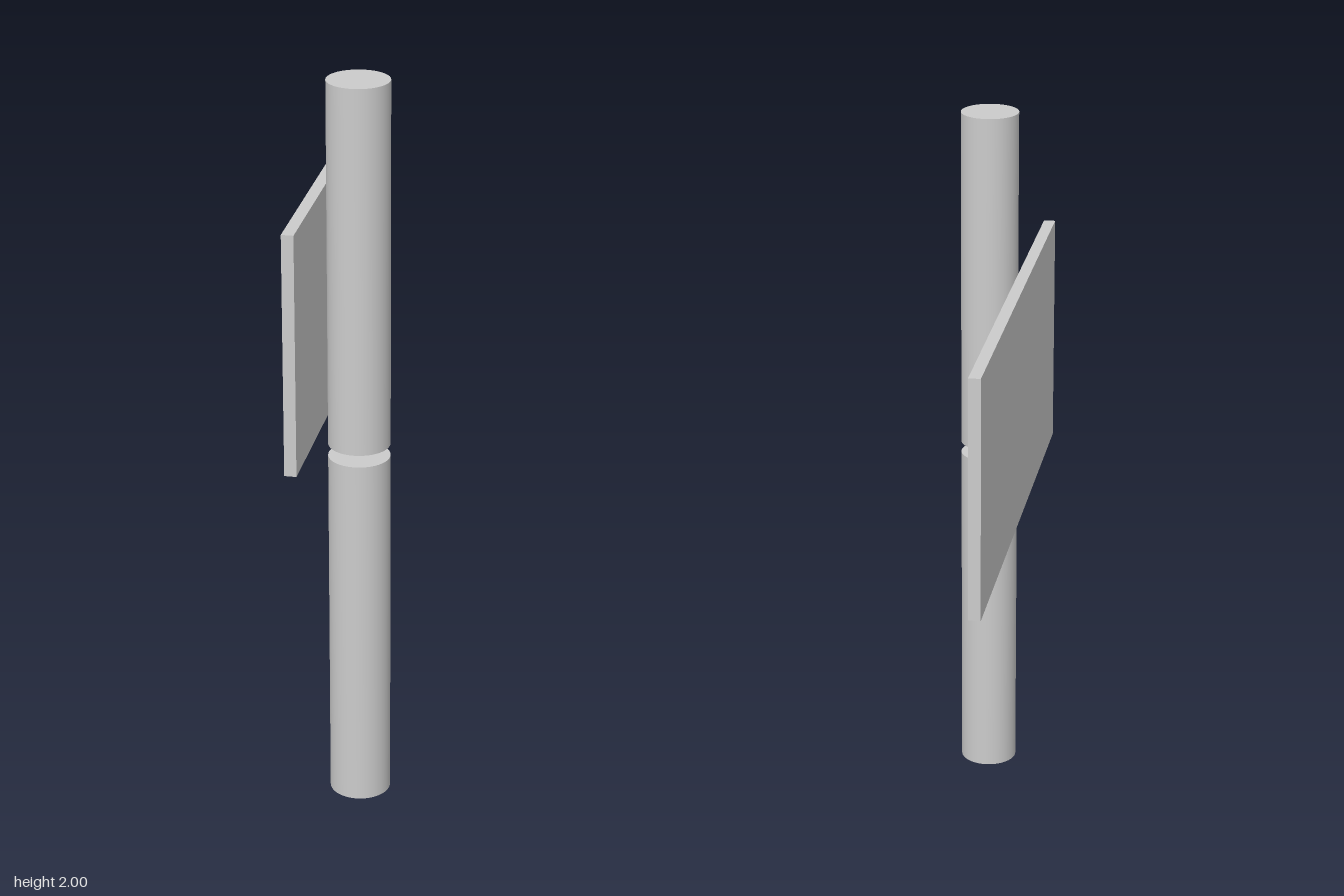
import * as THREE from 'three';

export function createModel() {
  const model = new THREE.Group();
  const material = new THREE.MeshStandardMaterial({ color: 0xcccccc });
  const poleRadius = 0.081;

  function add(name, geometry, x, y, z) {
    const mesh = new THREE.Mesh(geometry, material);
    mesh.name = name;
    mesh.position.set(x, y, z);
    model.add(mesh);
  }

  // Round pole in two sections with a narrow gap between them
  function addPole(name, bottom, top) {
    const geometry = new THREE.CylinderGeometry(poleRadius, poleRadius, top - bottom, 64);
    add(name, geometry, 0.041, (bottom + top) / 2, 0.49);
  }
  addPole('lowerPole', 0, 0.987);
  addPole('upperPole', 1.02, 2);

  // Thin sign panel standing beside the pole
  add('signPanel', new THREE.BoxGeometry(0.032, 0.655, 1.31), -0.106, 1.3145, 0);

  return model;
}
